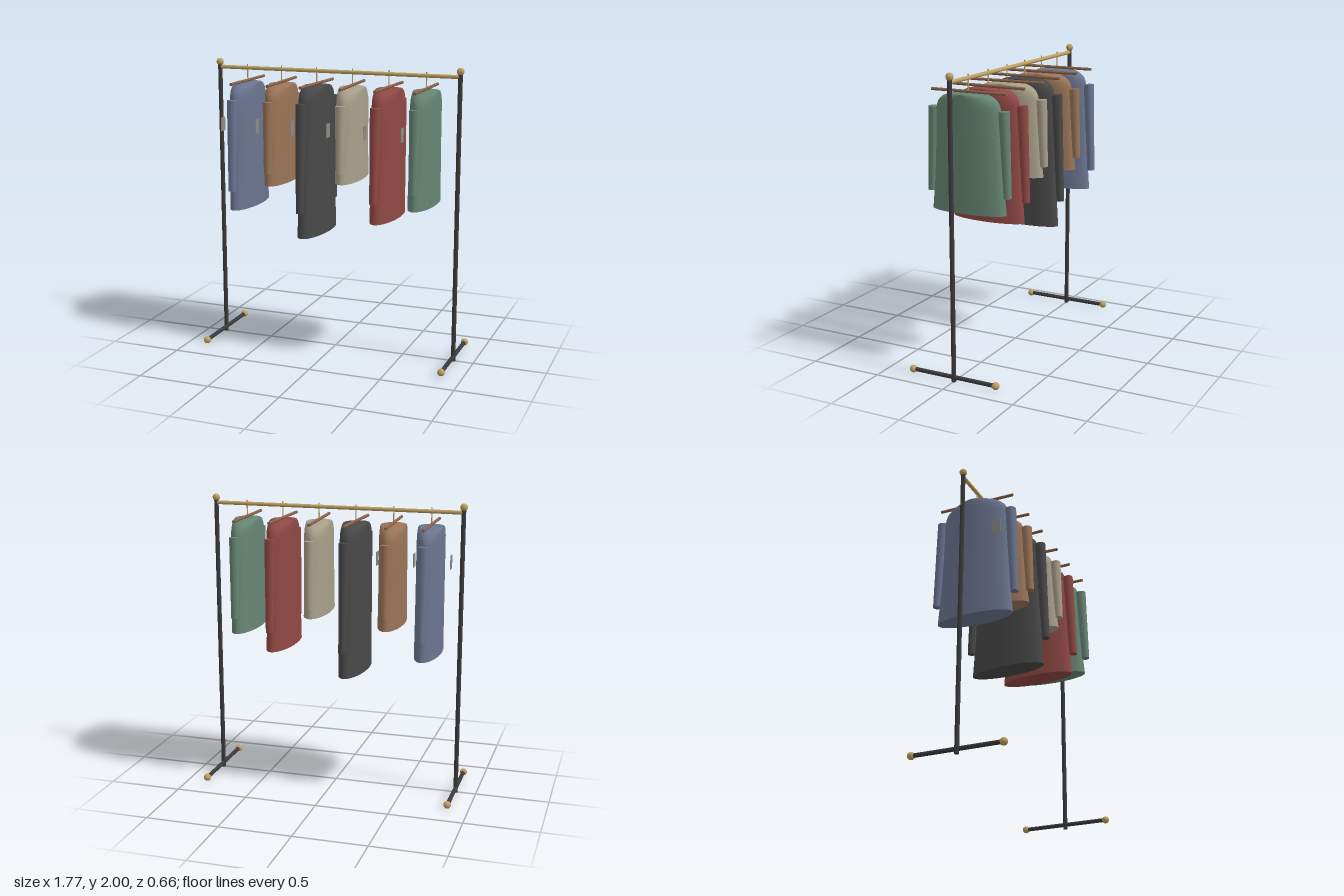
import * as THREE from 'three';
import { toCreasedNormals } from 'three/addons/utils/BufferGeometryUtils.js';

const material = (name, color) => new THREE.MeshStandardMaterial({ name, color });

function add(parent, name, geometry, mat, x = 0, y = 0, z = 0) {
  const mesh = new THREE.Mesh(geometry, mat);
  mesh.name = name;
  mesh.position.set(x, y, z);
  parent.add(mesh);
  return mesh;
}

// Elliptical tube of constant thickness whose breadth follows the coat outline
function bodyGeometry(hem) {
  const drop = (t) => 1.74 + (hem - 1.74) * t;
  const rows = [
    [1.843, 0.1], [1.836, 0.145], [1.82, 0.182], [1.795, 0.21], [1.77, 0.222], [1.74, 0.228],
    [drop(0.35), 0.234], [drop(0.7), 0.246], [hem, 0.265],
  ];
  const n = rows.length - 1;
  const g = new THREE.CylinderGeometry(1, 1, 1, 40, n);
  const p = g.attributes.position;
  for (let i = 0; i < p.count; i++) {
    const [y, breadth] = rows[Math.round((0.5 - p.getY(i)) * n)];
    p.setXYZ(i, p.getX(i) * 0.085, y, p.getZ(i) * breadth);
  }
  return toCreasedNormals(g, 0.9);
}

export function createModel() {
  const root = new THREE.Group();
  root.name = 'garmentRack';

  const steel = material('darkSteel', 0x3a3a3c);
  const brass = material('brass', 0xc0a060);
  const wood = material('wood', 0x8a6248);
  const paper = material('tagPaper', 0x8c8a84);

  // Frame: posts, feet, ball ends and rail
  const frame = new THREE.Group();
  frame.name = 'frame';
  root.add(frame);
  const ball = new THREE.SphereGeometry(0.025, 20, 14);
  for (const x of [-0.86, 0.86]) {
    add(frame, 'post', new THREE.CylinderGeometry(0.015, 0.015, 1.97, 20), steel, x, 0.985, 0);
    add(frame, 'postBall', ball, brass, x, 1.975, 0);
    add(frame, 'foot', new THREE.CylinderGeometry(0.014, 0.014, 0.61, 20), steel, x, 0.03, 0).rotation.x = Math.PI / 2;
    for (const z of [-0.306, 0.306]) add(frame, 'footBall', ball, brass, x, 0.03, z);
  }
  add(frame, 'rail', new THREE.CylinderGeometry(0.013, 0.013, 1.72, 20), brass, 0, 1.94, 0).rotation.z = Math.PI / 2;

  // Garments: name, colour, x, hem height, turn about the hook
  const garments = [
    ['slateBlue', 0x6b7590, -0.65, 0.985, 0],
    ['tan', 0x9a7458, -0.395, 1.175, 0.035],
    ['charcoal', 0x484848, -0.137, 0.83, -0.046],
    ['stone', 0xa89f8a, 0.12, 1.225, 0.04],
    ['brickRed', 0x904844, 0.377, 0.975, -0.03],
    ['sageGreen', 0x668573, 0.634, 1.085, 0],
  ];
  for (const [name, color, x, hem, turn] of garments) {
    const cloth = material(name, color);
    const garment = new THREE.Group();
    garment.name = name + 'Garment';
    garment.position.x = x;
    root.add(garment);

    const hung = new THREE.Group();
    hung.name = 'hungCoat';
    hung.rotation.y = turn;
    garment.add(hung);
    add(hung, 'hook', new THREE.CylinderGeometry(0.004, 0.004, 0.11, 10), brass, 0, 1.91, 0);
    add(hung, 'hangerBar', new THREE.CylinderGeometry(0.01, 0.01, 0.535, 14), wood, 0, 1.855, 0).rotation.x = Math.PI / 2;
    add(hung, 'coatBody', bodyGeometry(hem), cloth);

    // Tapered sleeves leaning slightly outwards
    const length = (1.843 - hem) * 0.725;
    for (const side of [-1, 1]) {
      const sleeve = add(hung, 'sleeve', new THREE.CylinderGeometry(0.036, 0.026, length, 20), cloth,
        0, 1.747 - length / 2, side * (0.251 + length * 0.022));
      sleeve.rotation.x = -side * 0.045;
    }

    // Price tag beside the coat
    add(garment, 'tag', new THREE.BoxGeometry(0.003, 0.095, 0.06), paper, -0.1, 1.572, 0.195);
  }
  return root;
}
